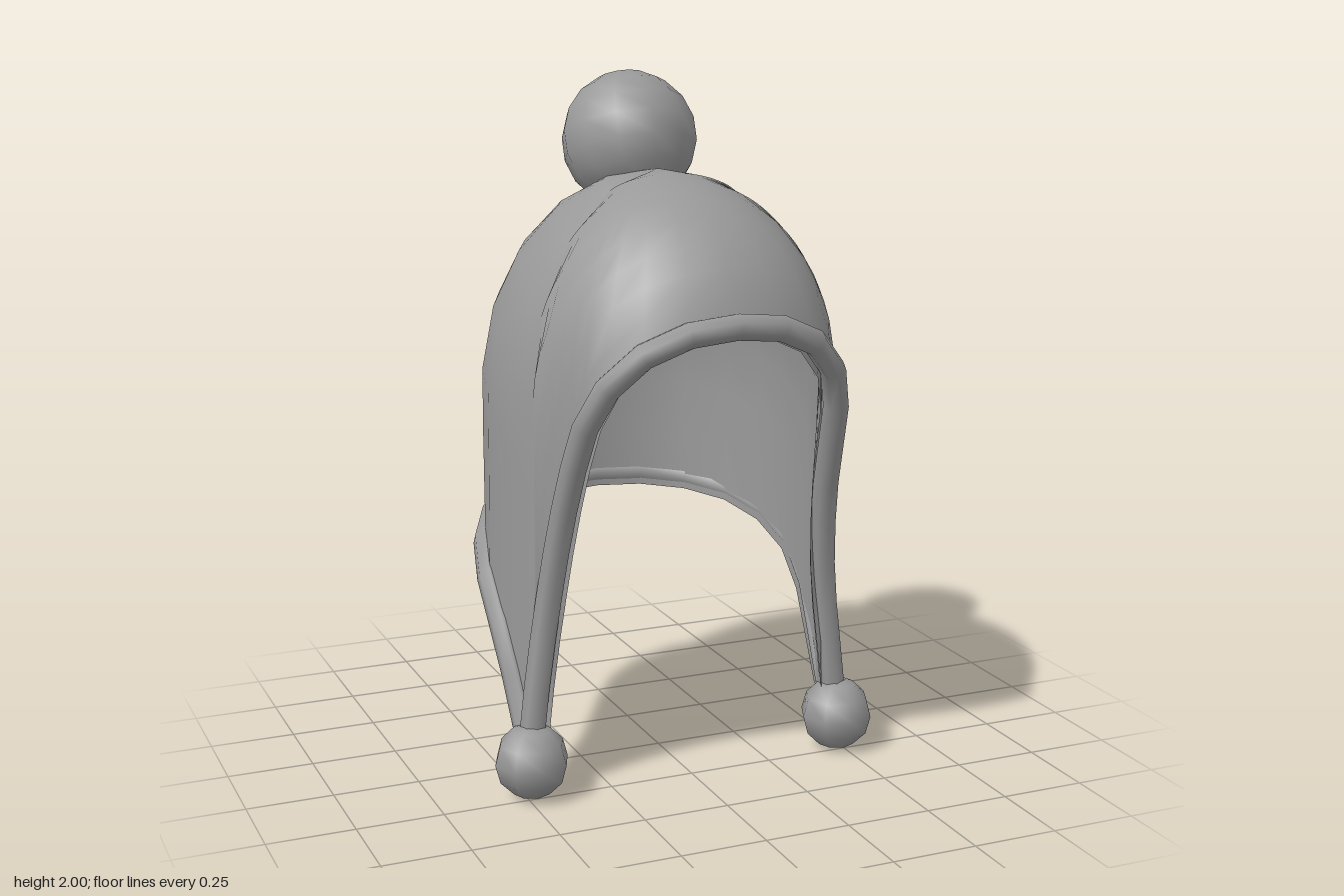
import * as THREE from 'three';
import { mergeVertices } from 'three/addons/utils/BufferGeometryUtils.js';

const wool = new THREE.MeshStandardMaterial({ color: 0x999999 });
const cloth = new THREE.MeshStandardMaterial({ color: 0x999999, side: THREE.DoubleSide });

const TOP = 1.735;
const FRONT_STEPS = 22, BACK_STEPS = 16, ROWS = 8;

// Mirror a half edge (centre to flap tip) into a full curve across x
function mirroredCurve(half) {
  const left = half.map(([x, y, z]) => new THREE.Vector3(x, y, z));
  const right = half.slice(1).reverse().map(([x, y, z]) => new THREE.Vector3(-x, y, z));
  return new THREE.CatmullRomCurve3([...right, ...left]);
}

// Face opening, from the forehead down to the ear flap tip
const frontEdge = mirroredCurve([
  [0, 1.37, 0.54], [0.15, 1.35, 0.525], [0.28, 1.28, 0.485], [0.36, 1.16, 0.42],
  [0.385, 1.02, 0.355], [0.405, 0.8, 0.275], [0.43, 0.55, 0.225], [0.455, 0.36, 0.215], [0.475, 0.19, 0.215],
]);

// Neck edge, from the nape round to the ear flap tip
const backEdge = mirroredCurve([
  [0, 0.72, -0.53], [0.2, 0.71, -0.5], [0.365, 0.685, -0.39], [0.455, 0.64, -0.24],
  [0.495, 0.56, -0.09], [0.495, 0.43, 0.035], [0.485, 0.3, 0.11], [0.48, 0.19, 0.17],
]);

// Hem points all the way round, moved inwards by inset and past the edge by extend
function hemLoop(inset, extend) {
  const sample = (curve, steps, sign) => curve.getSpacedPoints(steps).map((p, i) => {
    const out = new THREE.Vector3(p.x, 0, p.z).normalize();
    const past = curve.getTangentAt(i / steps).cross(out).normalize();
    return p.addScaledVector(out, -inset).addScaledVector(past, sign * extend);
  });
  return [...sample(frontEdge, FRONT_STEPS, 1), ...sample(backEdge, BACK_STEPS, -1).reverse()];
}

// One point of the cap: a rounded dome that runs down to the hem point
function capPoint(hem, t, inset) {
  const hemR = Math.hypot(hem.x, hem.z);
  const sin = hem.x / hemR, cos = hem.z / hemR;
  const n = cos < 0 ? 2.25 : 2;
  const depth = cos < 0 ? 0.578 : 0.57;
  const wide = (Math.abs(sin / 0.49) ** n + Math.abs(cos / depth) ** n) ** (-1 / n) - inset;
  const base = 1.1 + 0.15 * Math.max(0, cos);
  const height = TOP - inset - base;
  const end = hem.y > base ? Math.acos((hem.y - base) / height) : Math.PI / 2;
  const arc = end * 0.58;
  const drop = Math.max(0, base - hem.y);
  const s = t * (arc + drop);
  const phi = Math.min(s / arc, 1) * end;
  const y = base + height * Math.cos(phi) - Math.max(0, s - arc);
  const r = wide * Math.sin(phi) + (hemR - wide * Math.sin(end)) * t ** 3;
  return [r * sin, y, r * cos];
}

function capGeometry(inset, extend) {
  const hem = hemLoop(inset, extend);
  const n = hem.length, pos = [], index = [];
  hem.forEach((h) => {
    for (let j = 0; j <= ROWS; j++) pos.push(...capPoint(h, j / ROWS, inset));
  });
  for (let i = 0; i < n; i++) {
    for (let j = 0; j < ROWS; j++) {
      const a = i * (ROWS + 1) + j, d = ((i + 1) % n) * (ROWS + 1) + j;
      if (j > 0) index.push(a, a + 1, d);
      index.push(a + 1, d + 1, d);
    }
  }
  let geo = new THREE.BufferGeometry();
  geo.setAttribute('position', new THREE.Float32BufferAttribute(pos, 3));
  geo.setIndex(index);
  geo = mergeVertices(geo, 1e-5);
  geo.computeVertexNormals();
  return geo;
}

export function createModel() {
  const group = new THREE.Group();
  const add = (name, geo, material, x = 0, y = 0, z = 0) => {
    const mesh = new THREE.Mesh(geo, material);
    mesh.name = name;
    mesh.position.set(x, y, z);
    group.add(mesh);
    return mesh;
  };

  // Cap with ear flaps, and a lining that covers the trim on the inside
  add('cap', capGeometry(0, 0), cloth);
  add('lining', capGeometry(0.034, 0.034), cloth);

  // Rolled trim along both edges
  add('frontTrim', new THREE.TubeGeometry(frontEdge, FRONT_STEPS, 0.037, 7), cloth);
  add('backTrim', new THREE.TubeGeometry(backEdge, BACK_STEPS, 0.037, 7), cloth);

  // Large pompom towards the back of the crown
  add('pompom', new THREE.SphereGeometry(0.2, 12, 9), wool, 0, 1.8, -0.22).rotation.x = -0.35;

  // Small pompoms at the flap tips
  for (const side of [1, -1]) {
    add(side > 0 ? 'leftFlapPompom' : 'rightFlapPompom',
      new THREE.SphereGeometry(0.108, 8, 6), wool, side * 0.483, 0.108, 0.226);
  }
  return group;
}
